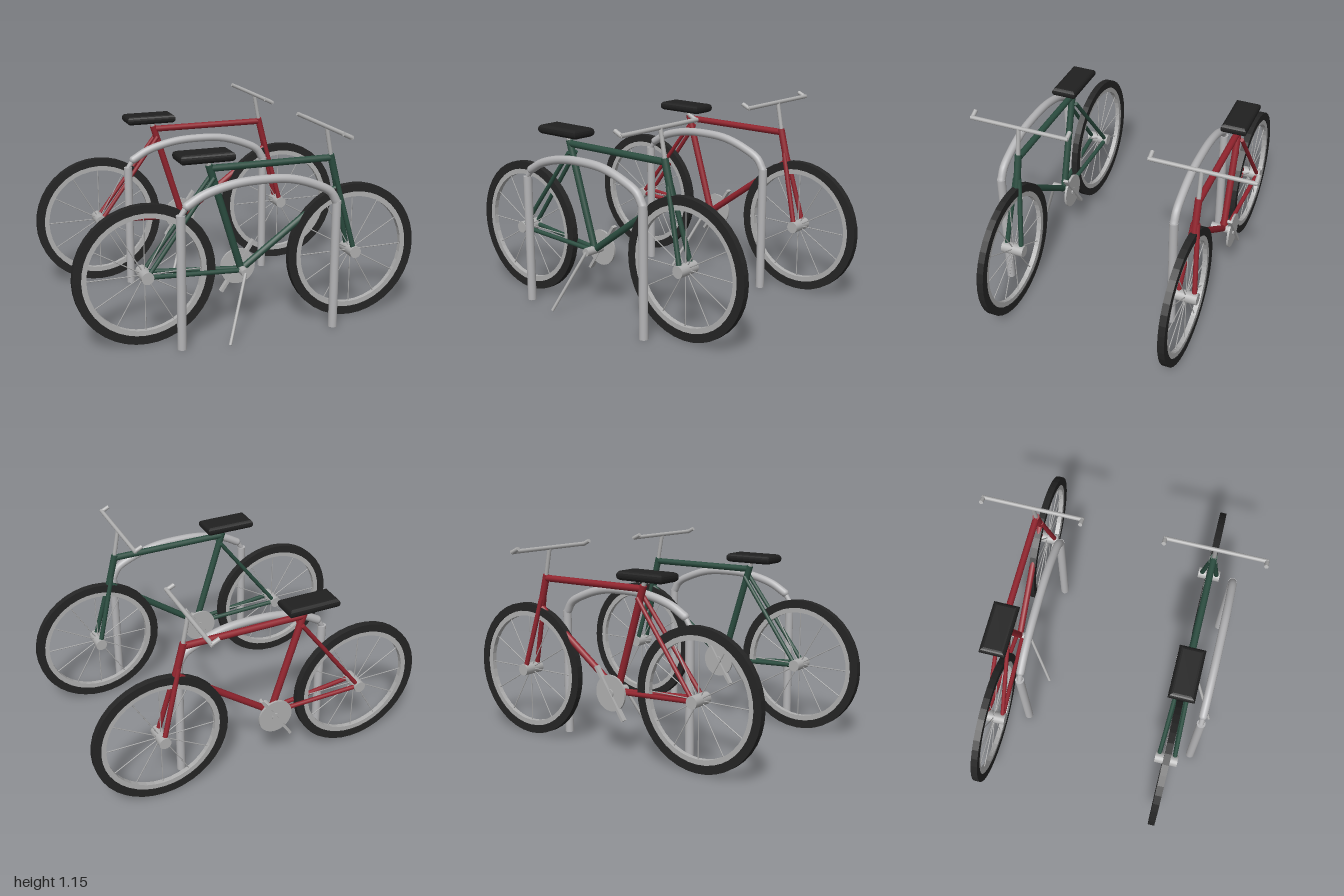
import * as THREE from 'three';

const mat = (name, color, side = THREE.FrontSide) => {
  const m = new THREE.MeshStandardMaterial({ color, side });
  m.name = name;
  return m;
};
const V = (x, y, z = 0) => new THREE.Vector3(x, y, z);

function add(parent, name, geometry, material) {
  const mesh = new THREE.Mesh(geometry, material);
  mesh.name = name;
  parent.add(mesh);
  return mesh;
}

// Capped round bar between two points
function rod(parent, name, a, b, radius, material, sides = 14) {
  const dir = b.clone().sub(a);
  const mesh = add(parent, name, new THREE.CylinderGeometry(radius, radius, dir.length(), sides), material);
  mesh.position.copy(a).add(b).multiplyScalar(0.5);
  mesh.quaternion.setFromUnitVectors(V(0, 1), dir.normalize());
  return mesh;
}

// Flat-sided ring lying in the xy plane
function ring(outer, inner, width) {
  const shape = new THREE.Shape().absarc(0, 0, outer, 0, Math.PI * 2);
  shape.holes.push(new THREE.Path().absarc(0, 0, inner, 0, Math.PI * 2, true));
  return new THREE.ExtrudeGeometry(shape, { depth: width, bevelEnabled: false, curveSegments: 20 })
    .translate(0, 0, -width / 2);
}

function makeWheel(x, m) {
  const wheel = new THREE.Group();
  wheel.name = 'wheel';
  wheel.position.set(x, 0.392, 0);
  add(wheel, 'tyre', ring(0.392, 0.345, 0.038), m.rubber);
  add(wheel, 'rim', ring(0.346, 0.316, 0.028), m.metal);
  rod(wheel, 'hub', V(0, 0, -0.067), V(0, 0, 0.067), 0.034, m.metal, 20);
  for (let i = 0; i < 12; i++) {
    const a = (i * Math.PI) / 6;
    rod(wheel, 'spoke', V(0, 0), V(Math.cos(a) * 0.325, Math.sin(a) * 0.325), 0.0032, m.metal, 5);
  }
  return wheel;
}

function makeBike(name, paint, m) {
  const bike = new THREE.Group();
  bike.name = name;
  bike.add(makeWheel(-0.608, m), makeWheel(0.608, m));

  // Frame
  const seatTop = V(-0.24, 0.941), head = V(0.468, 0.941), crown = V(0.512, 0.77), crank = V(-0.06, 0.355);
  rod(bike, 'topTube', seatTop, head, 0.019, paint);
  rod(bike, 'seatTube', V(-0.246, 0.96), crank, 0.02, paint);
  rod(bike, 'downTube', crank, crown, 0.019, paint);
  rod(bike, 'headTube', V(0.463, 0.96), crown, 0.02, paint);
  for (const s of [-1, 1]) {
    rod(bike, 'forkBlade', V(0.498, 0.82, s * 0.012), V(0.608, 0.392, s * 0.047), 0.014, paint);
    rod(bike, 'seatStay', V(-0.225, 0.895, s * 0.028), V(-0.6, 0.4, s * 0.047), 0.012, paint);
    rod(bike, 'chainStay', V(-0.06, 0.355, s * 0.018), V(-0.6, 0.392, s * 0.047), 0.013, paint);
  }

  // Saddle: rounded slab
  rod(bike, 'seatPost', seatTop, V(-0.262, 1.0), 0.013, m.metal);
  const w = 0.1275, d = 0.05;
  const slab = new THREE.Shape().moveTo(-w, -d).lineTo(w, -d).lineTo(w, d).lineTo(-w, d).closePath();
  const saddle = add(bike, 'saddle', new THREE.ExtrudeGeometry(slab, {
    depth: 0.006, bevelThickness: 0.024, bevelSize: 0.024, bevelSegments: 4,
  }), m.saddle);
  saddle.rotation.x = -Math.PI / 2;
  saddle.position.set(-0.272, 1.008, 0);

  // Handlebar with swept-back ends
  rod(bike, 'stem', head, V(0.434, 1.117), 0.012, m.metal);
  rod(bike, 'handlebar', V(0.434, 1.117, -0.295), V(0.434, 1.117, 0.295), 0.012, m.metal);
  for (const s of [-1, 1]) {
    rod(bike, 'grip', V(0.438, 1.114, s * 0.287), V(0.39, 1.137, s * 0.287), 0.012, m.metal);
  }

  // Drivetrain
  rod(bike, 'crankAxle', V(-0.06, 0.355, -0.07), V(-0.06, 0.355, 0.073), 0.024, m.metal);
  rod(bike, 'chainring', V(-0.06, 0.355, -0.062), V(-0.06, 0.355, -0.05), 0.102, m.metal, 32);
  const arms = add(bike, 'crankArms', new THREE.BoxGeometry(0.016, 0.34, 0.03), m.metal);
  arms.position.set(-0.06, 0.355, -0.062);
  arms.rotation.z = -Math.atan2(0.096, 0.142);

  rod(bike, 'kickstand', V(-0.06, 0.355, 0.068), V(-0.2, 0.012, 0.208), 0.009, m.metal, 10);
  return bike;
}

function makeRack(m) {
  const rack = new THREE.Group();
  rack.name = 'rack';
  rod(rack, 'leftPost', V(0.439, 0), V(0.439, 0.735), 0.025, m.rack, 20);
  rod(rack, 'rightPost', V(-0.449, 0), V(-0.449, 0.745), 0.025, m.rack, 20);
  rod(rack, 'postNeck', V(-0.449, 0.74), V(-0.41, 0.8), 0.015, m.rack);
  const path = new THREE.CatmullRomCurve3([
    V(-0.415, 0.79), V(-0.32, 0.842), V(-0.16, 0.884), V(0, 0.894),
    V(0.16, 0.884), V(0.3, 0.842), V(0.4, 0.79), V(0.437, 0.73),
  ]);
  add(rack, 'arch', new THREE.TubeGeometry(path, 40, 0.024, 16), m.rack);
  for (const end of [path.points[0], path.points[7]]) {
    add(rack, 'archEnd', new THREE.SphereGeometry(0.024, 16, 10), m.rack).position.copy(end);
  }
  return rack;
}

export function createModel() {
  const m = {
    rubber: mat('tyreBlack', 0x252525),
    saddle: mat('saddleBlack', 0x202020),
    metal: mat('silver', 0xb0b0b0),
    rack: mat('rackGrey', 0xb4b4b6),
    green: mat('greenPaint', 0x2b4d40),
    red: mat('redPaint', 0x92242e),
  };
  const model = new THREE.Group();
  model.name = 'bikeRack';
  for (const [name, paint, z] of [['greenBike', m.green, 0.525], ['redBike', m.red, -0.525]]) {
    const bike = makeBike(name, paint, m);
    bike.position.z = z;
    const rack = makeRack(m);
    rack.position.z = z + 0.141;
    model.add(bike, rack);
  }
  return model;
}
